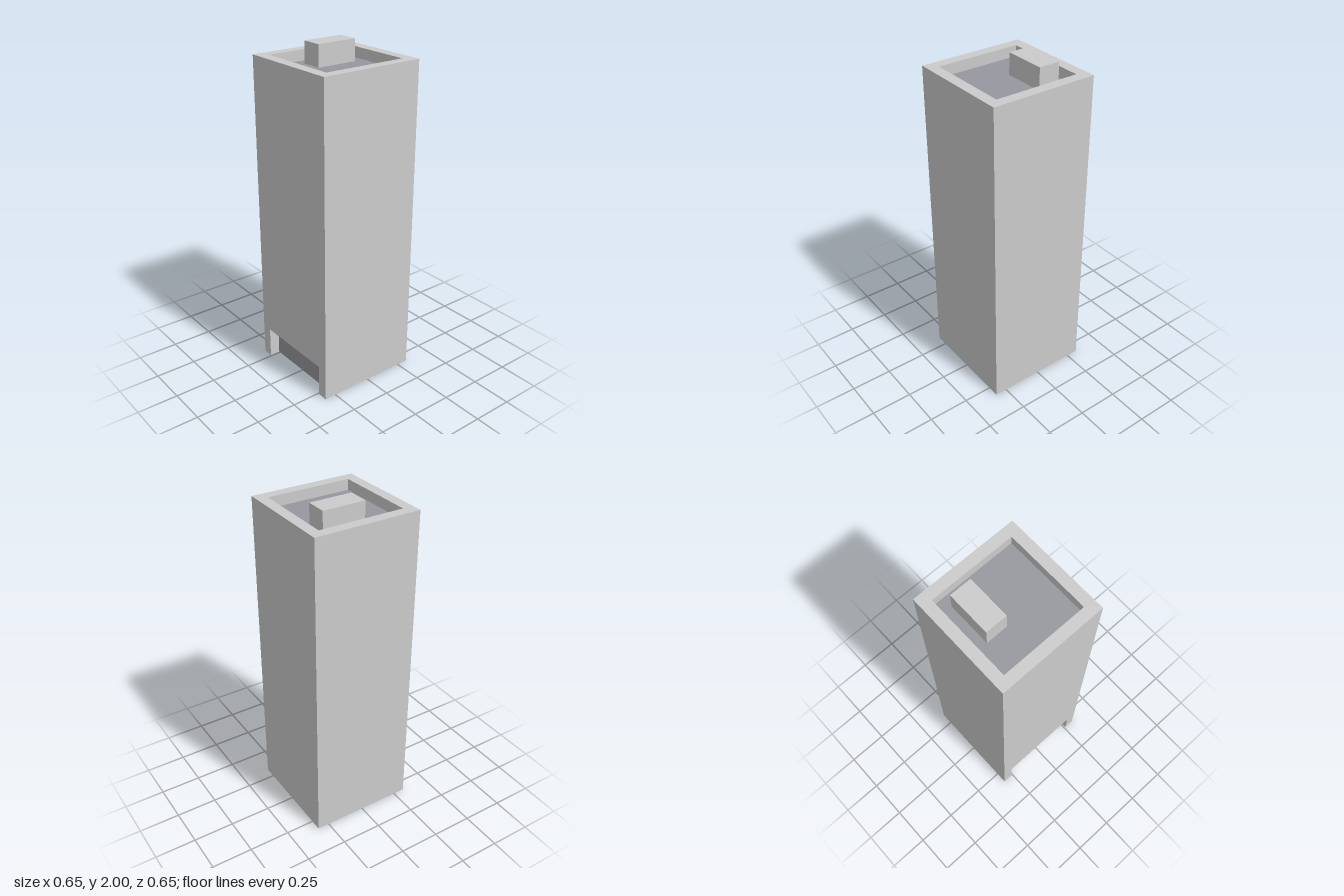
import * as THREE from 'three';

const U = 2 / 31; // module unit: tower is 10 x 10 x 30 units plus a 1 unit stack

export function createModel() {
  const group = new THREE.Group();
  const grey = new THREE.MeshStandardMaterial({ color: 0xcccccc });
  const slate = new THREE.MeshStandardMaterial({ color: 0x97989f });

  const add = (name, geometry, material, x, y, z) => {
    const mesh = new THREE.Mesh(geometry, material);
    mesh.name = name;
    mesh.position.set(x * U, y * U, z * U);
    group.add(mesh);
    return mesh;
  };
  const polygon = (points) => points.map(([x, y]) => new THREE.Vector2(x * U, y * U));
  const square = (h) => polygon([[-h, -h], [h, -h], [h, h], [-h, h]]);
  const extrude = (shape) => new THREE.ExtrudeGeometry(shape, { depth: U, bevelEnabled: false });

  // Tower core: its top is the roof floor, its front the entrance wall
  add('towerCore', new THREE.BoxGeometry(10 * U, 29 * U, 9 * U),
    [grey, grey, slate, grey, slate, grey], 0, 14.5, -0.5);

  // Front wall with the entrance cut out at the ground
  const facade = new THREE.Shape(polygon([
    [-5, 0], [-4, 0], [-4, 3], [4, 3], [4, 0], [5, 0], [5, 29], [-5, 29],
  ]));
  add('frontWall', extrude(facade), grey, 0, 0, 4);

  // Parapet around the sunken roof
  const rim = new THREE.Shape(square(5));
  rim.holes.push(new THREE.Path(square(4)));
  add('roofParapet', extrude(rim), grey, 0, 29, 0).rotation.x = -Math.PI / 2;

  // Rooftop block
  add('roofBlock', new THREE.BoxGeometry(2 * U, 2 * U, 4 * U), grey, -2, 30, -1);

  return group;
}
